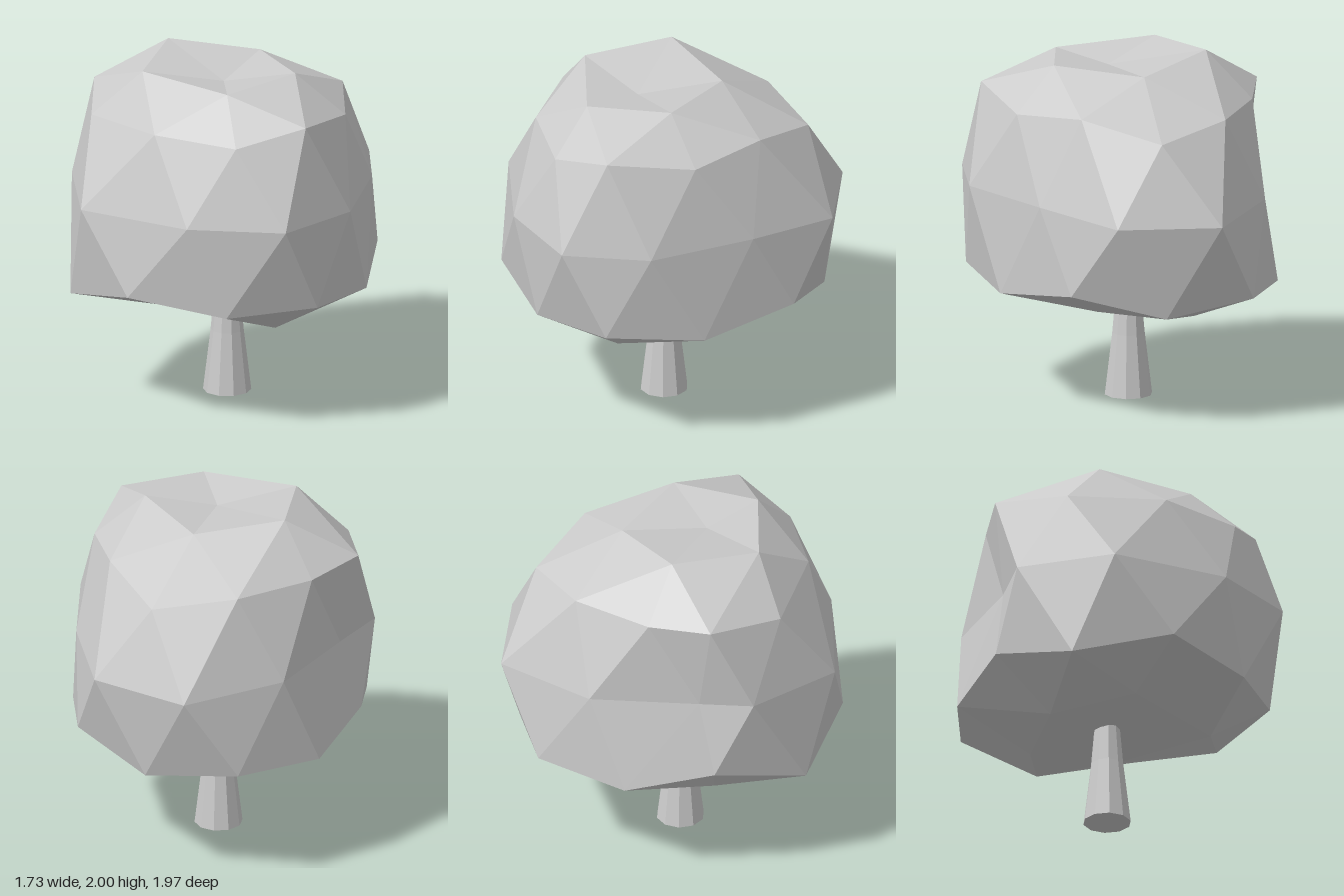
import * as THREE from 'three';

const GREY = new THREE.MeshStandardMaterial({ color: 0xcccccc, flatShading: true });

// Crown cross-sections from top to bottom; each point is [x, y, z], running from +x towards +z
const TOP = [0.04, 1.9, 0.235];
const CAP = [
  [0.44, 1.965, 0.15], [0.185, 1.94, 0.575], [-0.38, 1.97, 0.43], [-0.415, 2, -0.09], [0.08, 1.94, -0.25],
];
const SHOULDER = [
  [0.72, 1.73, 0.085], [0.665, 1.8, 0.59], [0.32, 1.7, 0.8], [-0.18, 1.72, 0.775], [-0.67, 1.695, 0.48],
  [-0.817, 1.76, 0.03], [-0.61, 1.73, -0.28], [-0.245, 1.73, -0.61], [0.23, 1.67, -0.715], [0.545, 1.775, -0.345],
];
const WAIST = [
  [0.86, 1.26, 0.385], [0.64, 1.25, 0.85], [0.09, 1.25, 0.98], [-0.61, 1.235, 0.815], [-0.865, 1.26, 0.27],
  [-0.72, 1.23, -0.01], [-0.51, 1.23, -0.6], [-0.01, 1.215, -0.985], [0.55, 1.225, -0.77], [0.76, 1.265, -0.245],
];
const SKIRT = [
  [0.84, 0.7, 0.065], [0.747, 0.745, 0.62], [0.3, 0.715, 0.9], [-0.28, 0.79, 0.95], [-0.75, 0.655, 0.608],
  [-0.83, 0.805, 0.05], [-0.685, 0.69, -0.44], [-0.295, 0.73, -0.843], [0.25, 0.67, -0.805], [0.7, 0.79, -0.5],
];
const UNDERSIDE = [
  [0.435, 0.54, 0.465], [-0.17, 0.61, 0.5], [-0.495, 0.503, 0.14], [-0.155, 0.545, -0.41], [0.35, 0.585, -0.19],
];
const BOTTOM = [0.0, 0.58, 0.1];

// Joins the rings with the facet pattern of a once-divided icosahedron
function crownGeometry() {
  const positions = [];
  const face = (...corners) => corners.forEach((p) => positions.push(...p));
  const at = (ring, i) => ring[i % ring.length];

  // Top and underside: five-point rings against ten-point rings
  for (let k = 0; k < 5; k++) {
    const a = CAP[k], a1 = at(CAP, k + 1);
    const b = at(SHOULDER, 2 * k), b1 = at(SHOULDER, 2 * k + 1), b2 = at(SHOULDER, 2 * k + 2);
    face(TOP, a1, a);
    face(a, b1, b);
    face(a, a1, b1);
    face(a1, b2, b1);

    const e = UNDERSIDE[k], e1 = at(UNDERSIDE, k + 1);
    const d1 = at(SKIRT, 2 * k + 1), d2 = at(SKIRT, 2 * k + 2), d3 = at(SKIRT, 2 * k + 3);
    face(d1, d2, e);
    face(d2, e1, e);
    face(d2, d3, e1);
    face(e, e1, BOTTOM);
  }

  // Two zigzag bands around the middle
  for (let j = 0; j < 10; j++) {
    const b = SHOULDER[j], b1 = at(SHOULDER, j + 1);
    const c = WAIST[j], c1 = at(WAIST, j + 1);
    const d = SKIRT[j], d1 = at(SKIRT, j + 1);
    face(b, b1, c);
    face(b1, c1, c);
    face(c, c1, d1);
    face(c, d1, d);
  }

  const geometry = new THREE.BufferGeometry();
  geometry.setAttribute('position', new THREE.Float32BufferAttribute(positions, 3));
  geometry.computeVertexNormals();
  return geometry;
}

// Ten-sided trunk, flared towards the ground
function trunkGeometry() {
  const profile = [[0, 0], [0.137, 0], [0.094, 0.36], [0.073, 0.6], [0.065, 0.75], [0, 0.75]];
  return new THREE.LatheGeometry(profile.map(([r, y]) => new THREE.Vector2(r, y)), 10);
}

export function createModel() {
  const tree = new THREE.Group();
  tree.name = 'tree';

  const crown = new THREE.Mesh(crownGeometry(), GREY);
  crown.name = 'crown';

  const trunk = new THREE.Mesh(trunkGeometry(), GREY);
  trunk.name = 'trunk';
  trunk.position.z = 0.07;

  tree.add(crown, trunk);
  return tree;
}
